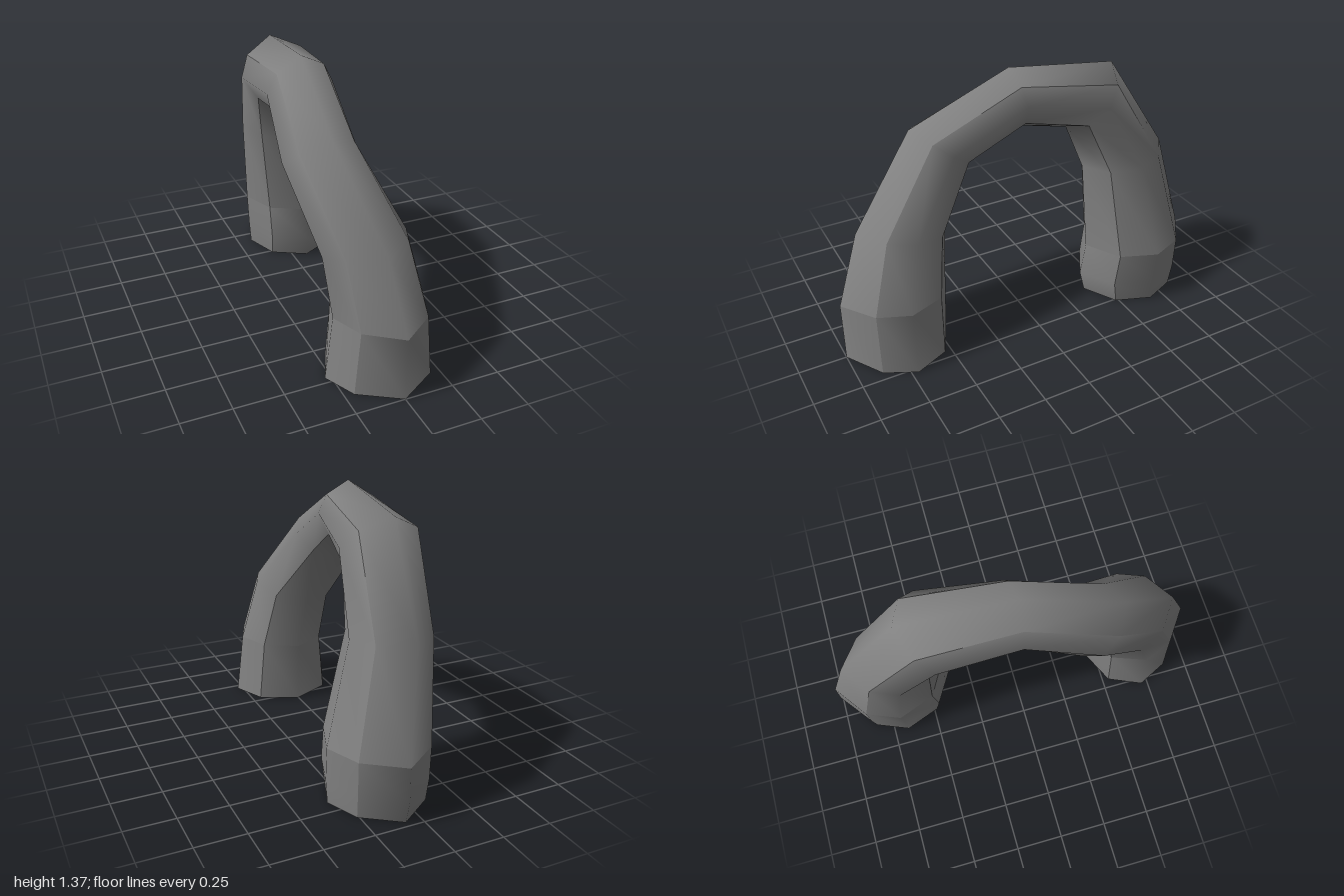
import * as THREE from 'three';

// Rings along the arch, from the front foot to the back foot:
// centre x, half width, outer y, outer z, inner y, inner z, tilt
const RINGS = [
  [0, 0.28, 0, 1, 0, 0.44, 0],
  [0, 0.24, 0.33, 1, 0.33, 0.43, 0],
  [-0.045, 0.215, 0.69, 0.87, 0.6, 0.4, 0.03],
  [-0.157, 0.188, 1.12, 0.52, 0.89, 0.21, 0.015],
  [-0.1, 0.173, 1.365, 0, 1.04, -0.04, 0.015],
  [-0.05, 0.213, 1.305, -0.575, 0.99, -0.31, 0.01],
  [0, 0.205, 0.8, -0.89, 0.76, -0.39, 0],
  [0.08, 0.26, 0.29, -1, 0.3, -0.385, 0],
  [0.08, 0.258, 0.12, -1, 0.12, -0.355, 0],
  [0.08, 0.25, 0, -0.97, 0, -0.385, 0],
];

// Eight-sided section: sideways factor, and fraction from outer to inner edge
const SECTION = [
  [0, 0], [0.72, 0.22], [1, 0.51], [0.72, 0.83],
  [0, 1], [-0.72, 0.83], [-1, 0.51], [-0.72, 0.22],
];

function ringPoint(ring, k) {
  const [cx, hw, oy, oz, iy, iz, tilt] = ring;
  const [side, t] = SECTION[(k + 8) % 8];
  return [cx + side * hw, oy + (iy - oy) * t + side * tilt, oz + (iz - oz) * t];
}

// One smooth strip, two faces wide, centred on section corner k
function panel(rings, k) {
  const positions = [];
  const index = [];
  for (const ring of rings) {
    for (let j = -1; j <= 1; j++) positions.push(...ringPoint(ring, k + j));
  }
  for (let r = 0; r < rings.length - 1; r++) {
    for (let j = 0; j < 2; j++) {
      const a = r * 3 + j;
      const c = a + 3;
      index.push(a, a + 1, c, a + 1, c + 1, c);
    }
  }
  const geometry = new THREE.BufferGeometry();
  geometry.setAttribute('position', new THREE.Float32BufferAttribute(positions, 3));
  geometry.setIndex(index);
  geometry.computeVertexNormals();
  return geometry;
}

export function createModel() {
  const stone = new THREE.MeshStandardMaterial({ color: 0x808080, side: THREE.DoubleSide });
  stone.name = 'grey stone';
  const model = new THREE.Group();
  model.name = 'stoneArch';

  // Feet and span meet at hard edges; their four panels do too
  const parts = { frontFoot: [0, 1], archSpan: [1, 7], backFoot: [7, 9] };
  const panels = { Outer: 0, Left: 2, Inner: 4, Right: 6 };
  for (const [partName, [first, last]] of Object.entries(parts)) {
    const part = new THREE.Group();
    part.name = partName;
    for (const [face, k] of Object.entries(panels)) {
      const mesh = new THREE.Mesh(panel(RINGS.slice(first, last + 1), k), stone);
      mesh.name = partName + face;
      part.add(mesh);
    }
    model.add(part);
  }
  return model;
}
